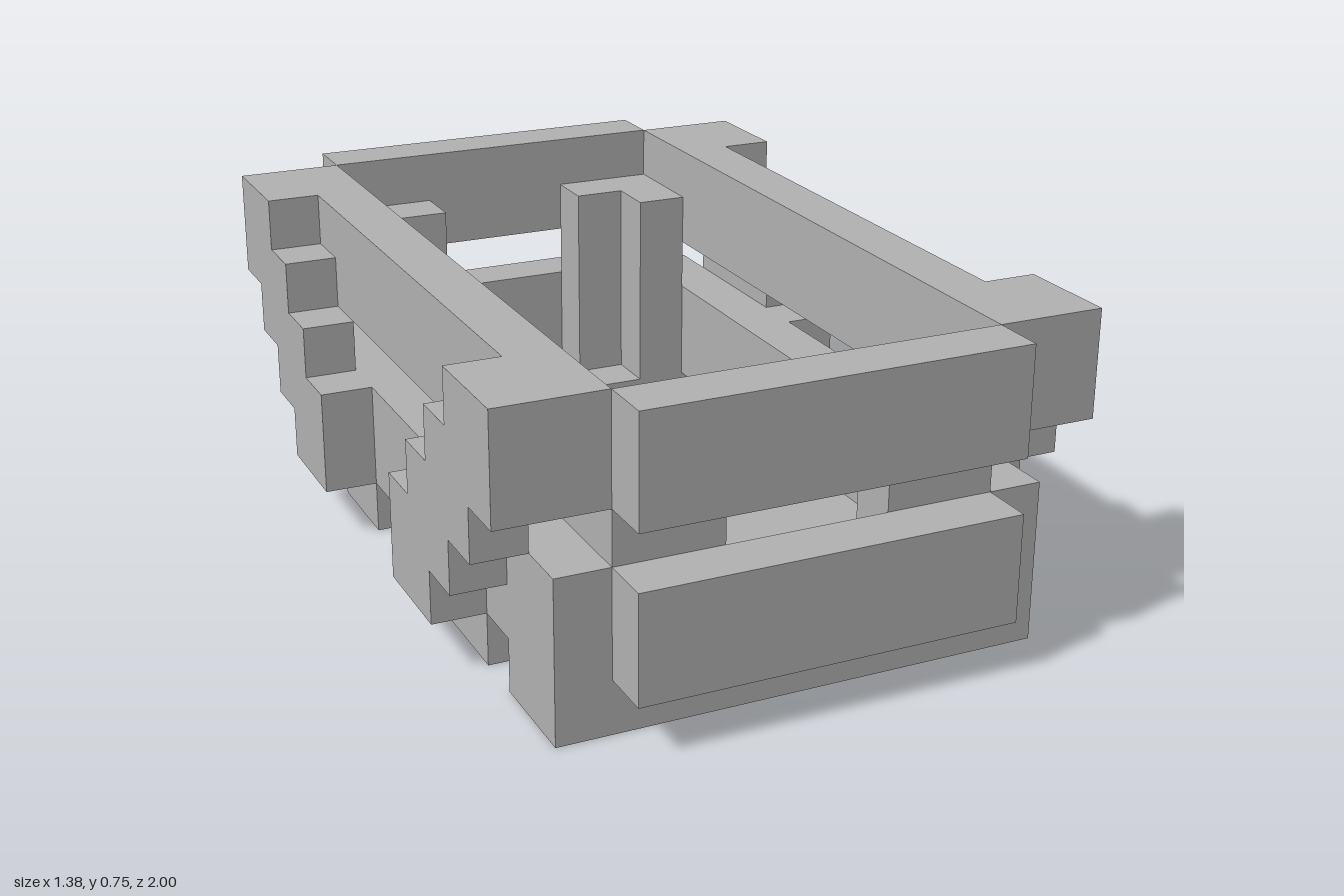
import * as THREE from 'three';

export function createModel() {
  const crate = new THREE.Group();
  crate.name = 'slattedCrate';
  const grey = new THREE.MeshStandardMaterial({ color: 0xb2b2b2 });
  grey.name = 'plainGrey';

  // Box from its min and max corners
  function block(name, x0, x1, y0, y1, z0, z1) {
    const mesh = new THREE.Mesh(new THREE.BoxGeometry(x1 - x0, y1 - y0, z1 - z0), grey);
    mesh.position.set((x0 + x1) / 2, (y0 + y1) / 2, (z0 + z1) / 2);
    mesh.name = name;
    crate.add(mesh);
  }

  // Prism from a flat outline, extruded along its local z
  function prism(name, outline, depth) {
    const shape = new THREE.Shape(outline.map(([a, b]) => new THREE.Vector2(a, b)));
    const mesh = new THREE.Mesh(new THREE.ExtrudeGeometry(shape, { depth, bevelEnabled: false }), grey);
    mesh.name = name;
    crate.add(mesh);
    return mesh;
  }

  // Floor slats
  for (const z of [-0.75, -0.375, 0, 0.375, 0.75]) {
    block('floorSlat', -0.5625, 0.5625, 0, 0.125, z - 0.125, z + 0.125);
  }

  // Lower and upper rails on the sides, boards on the ends
  for (const y of [0.125, 0.5]) {
    for (const s of [-1, 1]) {
      block('sideRail', s * 0.5 - 0.0625, s * 0.5 + 0.0625, y, y + 0.25, -0.875, 0.875);
      block('endBoard', -0.4375, 0.4375, y, y + 0.25, s * 0.9375 - 0.0625, s * 0.9375 + 0.0625);
    }
  }

  // Stepped diagonal brace outline as (z, y)
  const brace = [
    [0.25, 0.125], [0.5, 0.125], [0.5, 0.25], [0.625, 0.25], [0.625, 0.375],
    [0.75, 0.375], [0.75, 0.5], [0.875, 0.5], [0.875, 0.75], [0.625, 0.75],
    [0.625, 0.625], [0.5, 0.625], [0.5, 0.5], [0.375, 0.5], [0.375, 0.375], [0.25, 0.375],
  ];
  // L-shaped corner post outline as (x, z)
  const post = [
    [0.4375, 0.875], [0.1875, 0.875], [0.1875, 0.75],
    [0.3125, 0.75], [0.3125, 0.625], [0.4375, 0.625],
  ];

  for (const sx of [-1, 1]) {
    for (const sz of [-1, 1]) {
      const b = prism('diagonalBrace', brace.map(([z, y]) => [-z * sz, y]), 0.125);
      b.rotation.y = Math.PI / 2;
      b.position.x = sx > 0 ? 0.5625 : -0.6875;

      const p = prism('cornerPost', post.map(([x, z]) => [x * sx, -z * sz]), 0.5);
      p.rotation.x = -Math.PI / 2;
      p.position.y = 0.125;
    }
  }
  return crate;
}
